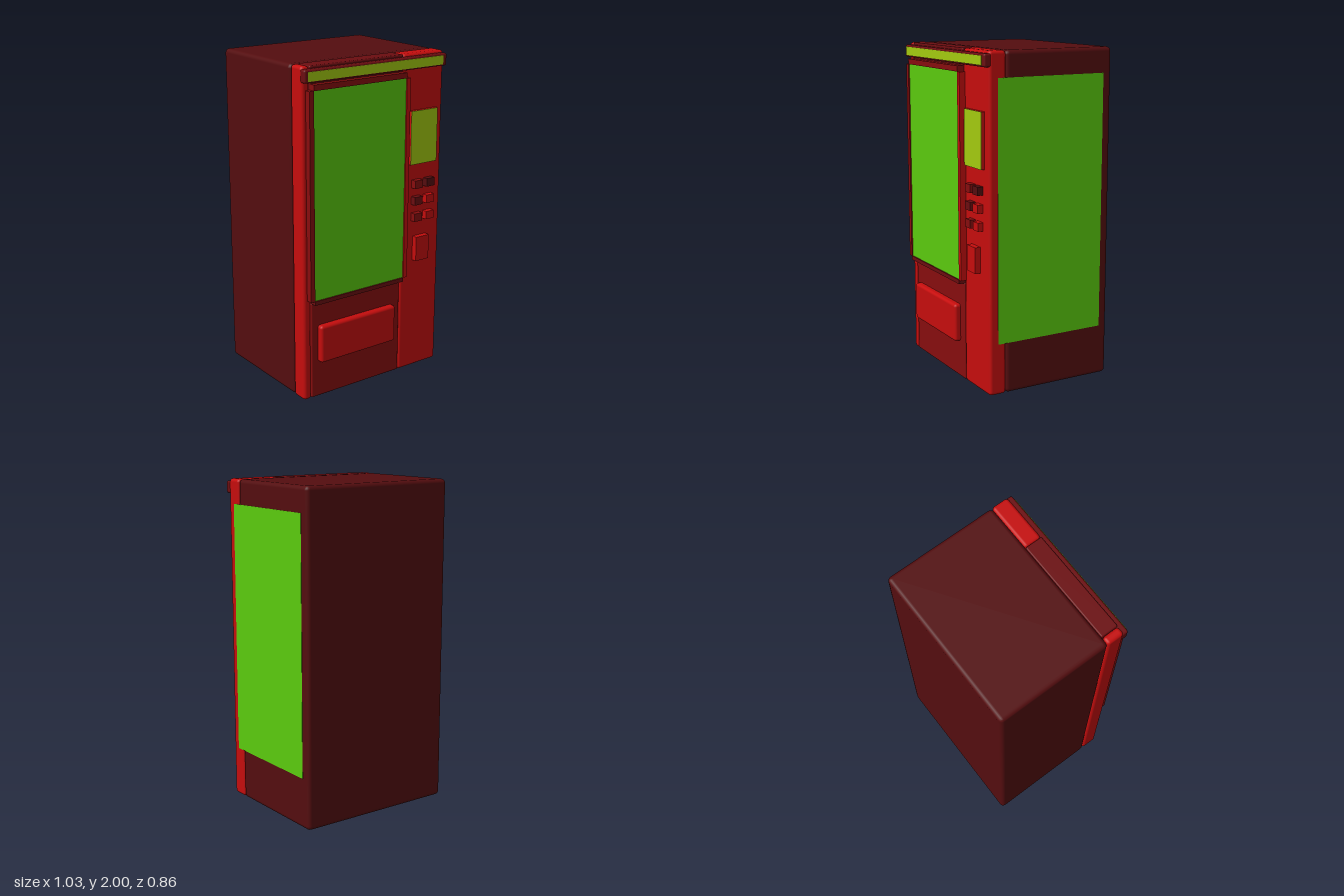
import * as THREE from 'three';
import { RoundedBoxGeometry } from 'three/addons/geometries/RoundedBoxGeometry.js';

function material(name, color) {
  const m = new THREE.MeshStandardMaterial({ color });
  m.name = name;
  return m;
}

export function createModel() {
  const model = new THREE.Group();
  model.name = 'vendingMachine';
  const red = material('red', 0xc60d0d);
  const mid = material('mediumRed', 0x880d0e);
  const deep = material('deepRed', 0x6c0d10);
  const maroon = material('maroon', 0x540d0f);
  const green = material('green', 0x5bcb0e);
  const lime = material('lime', 0xa4cb10);

  // Box given by its limits on each axis; r rounds the edges
  function block(name, mat, [x0, x1], [y0, y1], [z0, z1], r = 0) {
    const size = [x1 - x0, y1 - y0, z1 - z0];
    const geo = r ? new RoundedBoxGeometry(...size, 2, r) : new THREE.BoxGeometry(...size);
    const mesh = new THREE.Mesh(geo, mat);
    mesh.name = name;
    mesh.position.set((x0 + x1) / 2, (y0 + y1) / 2, (z0 + z1) / 2);
    model.add(mesh);
    return mesh;
  }

  // Cabinet and side panel
  block('cabinet', maroon, [-0.512, 0.512], [0, 2], [-0.428, 0.283], 0.025);
  block('sidePanel', green, [0.508, 0.514], [0.31, 1.85], [-0.37, 0.335]);

  // Front: left post, middle bay, right control column
  block('leftPost', red, [-0.512, -0.457], [0, 2], [0.28, 0.39], 0.02);
  block('controlColumn', red, [0.203, 0.512], [0, 2], [0.28, 0.39], 0.02);
  block('lowerPanel', mid, [-0.457, 0.203], [0.005, 0.61], [0.28, 0.39], 0.008);
  block('upperPanel', deep, [-0.457, 0.203], [0.61, 2], [0.28, 0.39], 0.008);

  // Display window with its frame
  block('window', green, [-0.455, 0.203], [0.635, 1.867], [0.385, 0.42]);
  block('frameLeft', mid, [-0.485, -0.455], [0.635, 1.867], [0.385, 0.428]);
  block('frameRight', red, [0.203, 0.23], [0.635, 1.867], [0.385, 0.428]);
  block('frameTop', mid, [-0.455, 0.203], [1.867, 1.9], [0.385, 0.428]);
  block('frameBottom', deep, [-0.455, 0.203], [0.61, 0.635], [0.385, 0.428]);

  // Sign bar across the top
  block('signBar', deep, [-0.512, 0.512], [1.91, 1.985], [0.375, 0.421], 0.012);
  block('signFace', lime, [-0.49, 0.48], [1.92, 1.973], [0.417, 0.424]);

  // Delivery flap
  block('deliveryFlap', red, [-0.412, 0.147], [0.23, 0.465], [0.37, 0.428], 0.018);

  // Screen
  block('screenHousing', red, [0.255, 0.457], [1.335, 1.662], [0.385, 0.41]);
  block('screen', lime, [0.255, 0.457], [1.335, 1.662], [0.41, 0.413]);

  // Keypad, two columns of three
  const keyColors = [[mid, maroon], [deep, red], [mid, red]];
  keyColors.forEach((row, j) => row.forEach((mat, i) => {
    const x = 0.315 + i * 0.092, y = 1.21 - j * 0.104;
    block('button', mat, [x - 0.03, x + 0.03], [y - 0.025, y + 0.025], [0.385, 0.425]);
  }));

  // Coin unit
  block('coinUnit', red, [0.302, 0.403], [0.72, 0.875], [0.385, 0.425]);

  return model;
}
